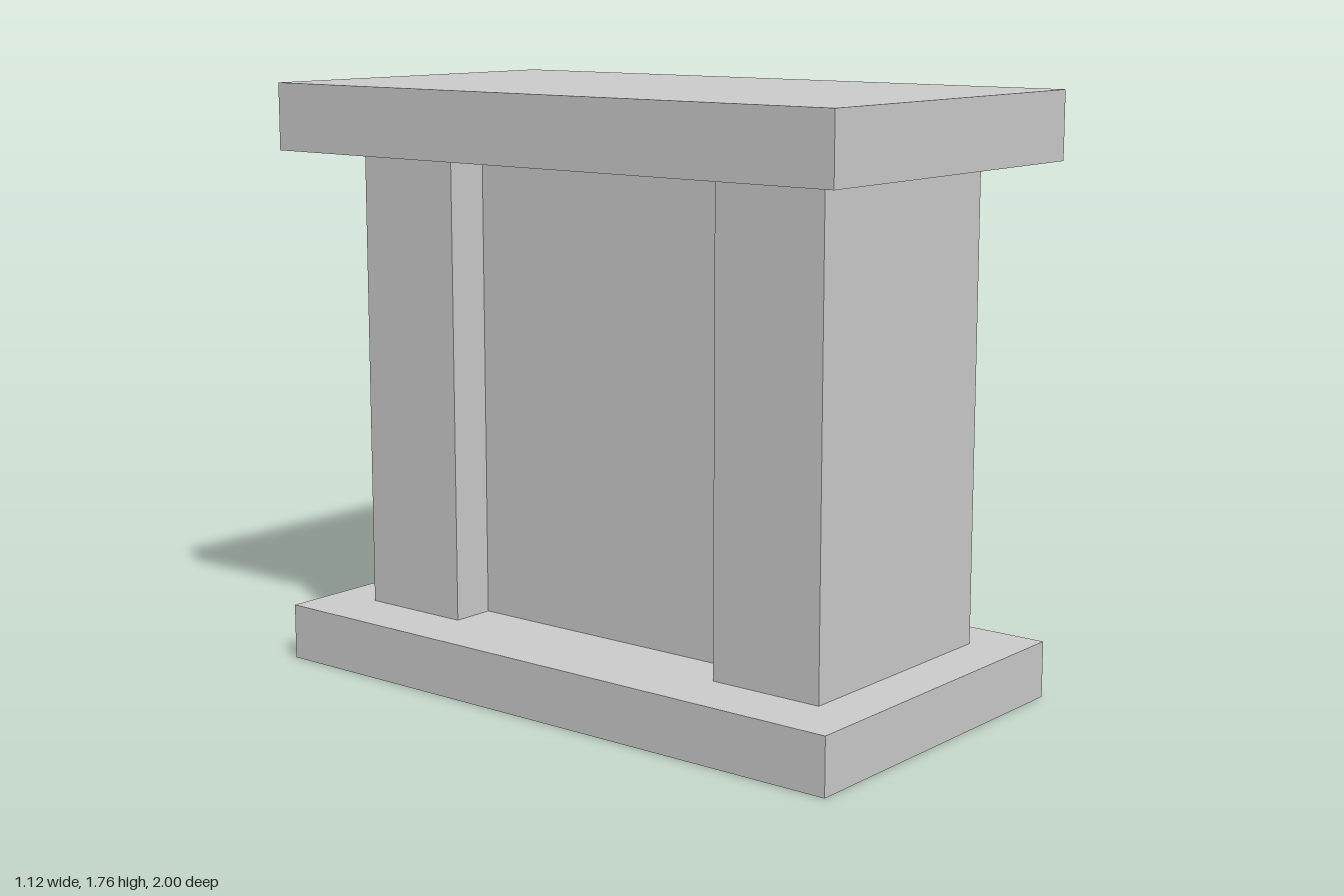
import * as THREE from 'three';

const material = new THREE.MeshStandardMaterial({ color: 0xcccccc, flatShading: true });

// Box given by its extents along each axis
function block(name, [x0, x1], [y0, y1], [z0, z1]) {
  const mesh = new THREE.Mesh(new THREE.BoxGeometry(x1 - x0, y1 - y0, z1 - z0), material);
  mesh.position.set((x0 + x1) / 2, (y0 + y1) / 2, (z0 + z1) / 2);
  mesh.name = name;
  return mesh;
}

export function createModel() {
  const group = new THREE.Group();
  group.name = 'pedestal';
  const wallHeight = [0.167, 1.56];
  const pillarWidth = [-0.373, 0.382];

  group.add(
    // Slabs below and above
    block('baseSlab', [-0.563, 0.535], [0, 0.167], [-0.992, 0.995]),
    block('topSlab', [-0.563, 0.56], [1.56, 1.76], [-1, 1]),
    // End pillars
    block('frontPillar', pillarWidth, wallHeight, [0.485, 0.84]),
    block('backPillar', pillarWidth, wallHeight, [-0.837, -0.483]),
    // Recessed wall between the pillars
    block('middleWall', [-0.24, 0.211], wallHeight, [-0.483, 0.485])
  );
  return group;
}
